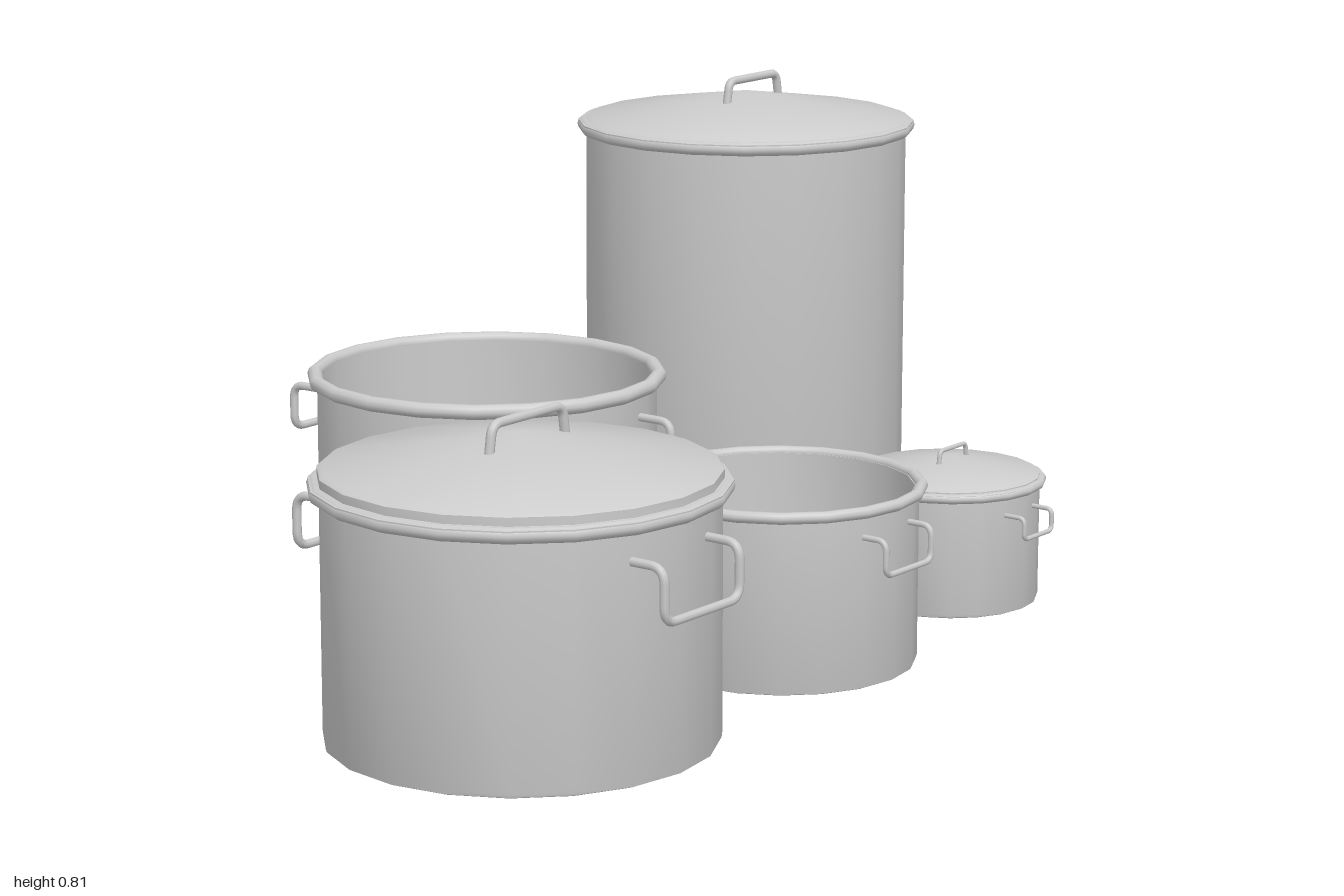
import * as THREE from 'three';
import { toCreasedNormals } from 'three/addons/utils/BufferGeometryUtils.js';

const SIDES = 20;
const material = new THREE.MeshStandardMaterial({ color: 0xcccccc });

// r: wall radius, rim: outer rim radius, bead: rim thickness radius
// lid: { edge, apex, top, width, bar }, handle: { top, bottom, out, width, bar, x }
const POTS = [
  { name: 'mediumLiddedPot', x: -0.685, z: 0.302, base: 0.03, r: 0.297, rim: 0.315, rimY: 0.417, bead: 0.012,
    lid: { edge: 0.446, apex: 0.497, top: 0.53, width: 0.175, bar: 0.0075, z: 0.014 },
    handle: { top: 0.369, bottom: 0.287, out: 0.348, width: 0.176, bar: 0.007, x: -0.018 } },
  { name: 'openPot', x: -0.035, z: -0.309, base: 0.017, r: 0.286, rim: 0.302, rimY: 0.387, bead: 0.0125,
    handle: { top: 0.341, bottom: 0.266, out: 0.343, width: 0.166, bar: 0.007, x: -0.022 } },
  { name: 'smallOpenPot', x: -0.035, z: 0.302, base: 0.003, r: 0.22, rim: 0.234, rimY: 0.29, bead: 0.0095,
    handle: { top: 0.252, bottom: 0.196, out: 0.257, width: 0.124, bar: 0.005, x: -0.015 } },
  { name: 'tinyLiddedPot', x: 0.446, z: 0.302, base: 0.002, r: 0.154, rim: 0.165, rimY: 0.208, bead: 0.008,
    lid: { edge: 0.222, apex: 0.247, top: 0.265, width: 0.084, bar: 0.004, z: 0.008 },
    handle: { top: 0.175, bottom: 0.139, out: 0.187, width: 0.084, bar: 0.004, x: -0.011 } },
  { name: 'tallLiddedPot', x: 0.691, z: -0.308, base: 0.018, r: 0.287, rim: 0.303, rimY: 0.722, bead: 0.012,
    lid: { edge: 0.738, apex: 0.783, top: 0.815, width: 0.155, bar: 0.0075, z: 0.015 } },
];

function addMesh(parent, name, geometry) {
  const mesh = new THREE.Mesh(geometry, material);
  mesh.name = name;
  parent.add(mesh);
  return mesh;
}

function lathe(points) {
  const profile = points.map(([x, y]) => new THREE.Vector2(x, y));
  return toCreasedNormals(new THREE.LatheGeometry(profile, SIDES), 0.6);
}

// Bent rod through corner points, each corner rounded by the given radius
function rod(points, cornerRadius, bar) {
  const p = points.map((c) => new THREE.Vector3(...c));
  const path = new THREE.CurvePath();
  let start = p[0];
  for (let i = 1; i < p.length - 1; i++) {
    const toward = (q) => q.clone().sub(p[i]).setLength(cornerRadius).add(p[i]);
    const before = toward(p[i - 1]);
    const after = toward(p[i + 1]);
    path.add(new THREE.LineCurve3(start, before));
    path.add(new THREE.QuadraticBezierCurve3(before, p[i], after));
    start = after;
  }
  path.add(new THREE.LineCurve3(start, p[p.length - 1]));
  return new THREE.TubeGeometry(path, 64, bar, 8, false);
}

function makePot(s) {
  const pot = new THREE.Group();
  pot.name = s.name;
  pot.position.set(s.x, 0, s.z);

  // Hollow body with a slightly rounded foot
  const wall = s.bead * 0.7;
  const inner = s.r - wall;
  addMesh(pot, 'body', lathe([
    [0, s.base], [s.r - 0.006, s.base], [s.r - 0.0015, s.base + 0.002], [s.r, s.base + 0.007],
    [s.r, s.rimY], [inner, s.rimY], [inner, s.base + wall], [0, s.base + wall],
  ]));

  // Rolled rim
  const rim = addMesh(pot, 'rim', new THREE.TorusGeometry(s.rim - s.bead, s.bead, 10, SIDES));
  rim.geometry.rotateX(Math.PI / 2);
  rim.position.y = s.rimY;

  // Shallow conical lid with a bar grip
  if (s.lid) {
    const { edge, apex, top, width, bar, z } = s.lid;
    const edgeR = s.rim - s.bead * 1.3;
    addMesh(pot, 'lid', lathe([
      [0, s.rimY], [s.rim - 0.002, s.rimY], [s.rim - 0.002, s.rimY + s.bead * 0.7],
      [edgeR, s.rimY + s.bead], [edgeR, edge - 0.004], [edgeR - 0.006, edge], [0, apex],
    ]));
    const h = width / 2 - bar;
    const foot = apex - (apex - edge) * (h / edgeR) - 0.008;
    addMesh(pot, 'lidHandle', rod([
      [-h - bar, foot, z], [-h, top - bar, z], [h, top - bar, z], [h + bar, foot, z],
    ], width * 0.1, bar));
  }

  // Drooping handles on the front and back
  if (s.handle) {
    const { top, bottom, out, width, bar, x } = s.handle;
    const h = width / 2;
    for (const side of [1, -1]) {
      const a = side * (s.r - wall * 0.8);
      const b = side * out;
      addMesh(pot, side > 0 ? 'frontHandle' : 'backHandle', rod([
        [x - h, top, a], [x - h, top, b], [x - h, bottom, b],
        [x + h, bottom, b], [x + h, top, b], [x + h, top, a],
      ], (top - bottom) * 0.3, bar));
    }
  }
  return pot;
}

export function createModel() {
  const model = new THREE.Group();
  model.name = 'cookingPots';
  for (const spec of POTS) model.add(makePot(spec));
  return model;
}
